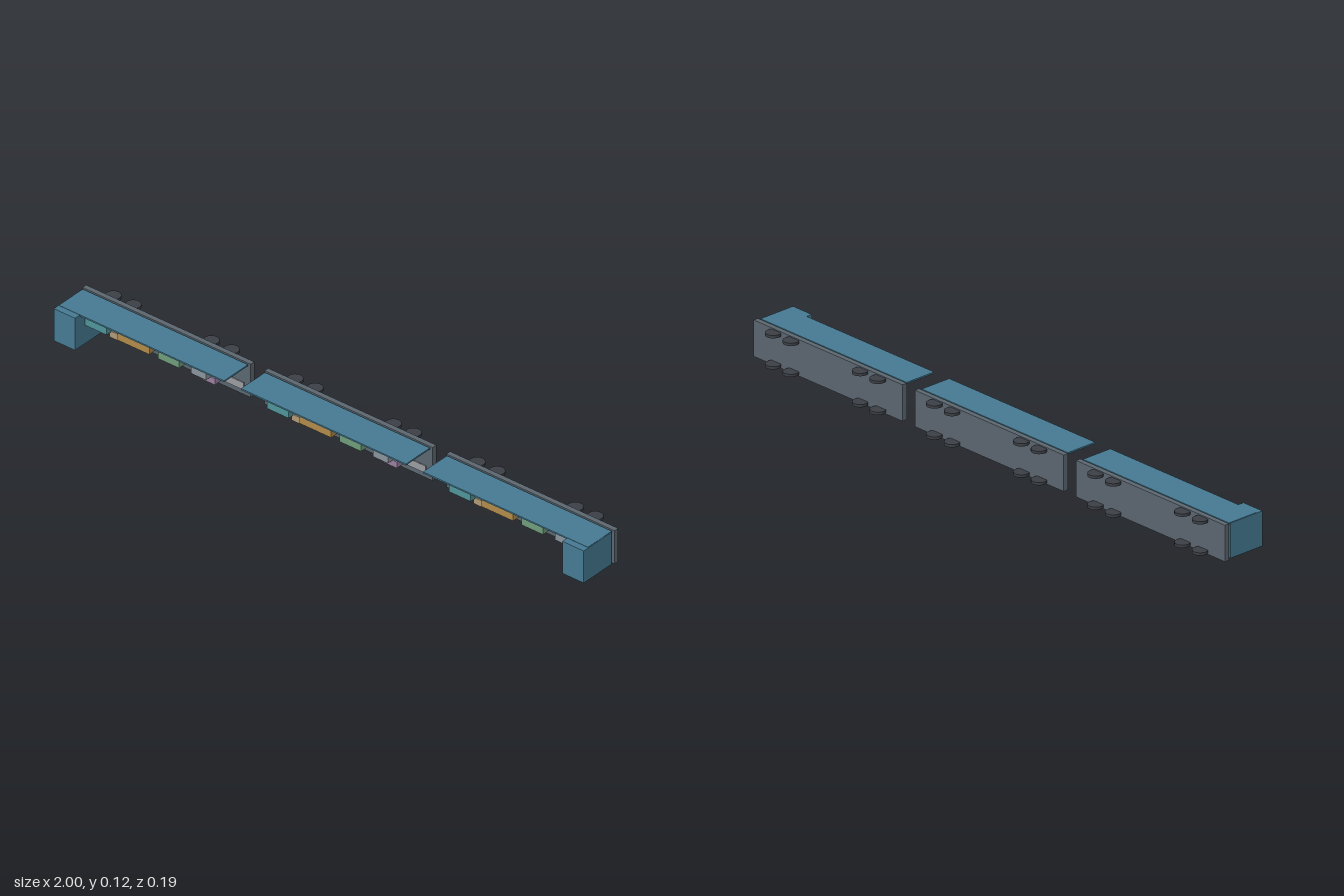
import * as THREE from 'three';

const mat = (color) => new THREE.MeshStandardMaterial({ color });
const M = {
  floor: mat(0x5b6670), shell: mat(0x457a92), wheel: mat(0x3c4046), strip: mat(0x9a9ca0),
  teal: mat(0x4f9499), orange: mat(0xb08a4a), green: mat(0x6f9c7a),
  grey: mat(0x8a949c), beige: mat(0xb09a78), purple: mat(0x9a7fa0),
};

// Box given by its min and max along each axis
function box(parent, name, material, [x0, x1], [y0, y1], [z0, z1]) {
  const mesh = new THREE.Mesh(new THREE.BoxGeometry(x1 - x0, y1 - y0, z1 - z0), material);
  mesh.position.set((x0 + x1) / 2, (y0 + y1) / 2, (z0 + z1) / 2);
  mesh.name = name;
  parent.add(mesh);
}

// Furnishings: name, colour, x range, y range, z range
const fittings = [
  ['tealCabinet', 'teal', [-0.232, -0.15], [0.067, 0.104], [-0.031, 0.05]],
  ['orangeCounter', 'orange', [-0.11, 0.01], [0.067, 0.104], [-0.031, 0.05]],
  ['greenCabinet', 'green', [0.042, 0.122], [0.067, 0.105], [-0.031, 0.05]],
  ['greyCabinet', 'grey', [0.167, 0.223], [0.068, 0.105], [-0.031, 0.05]],
  ['beigeSeat', 'beige', [-0.156, -0.104], [0.048, 0.07], [-0.031, 0.03]],
  ['purpleSeat', 'purple', [0.191, 0.24], [0.048, 0.07], [-0.031, 0.03]],
];

function createCar() {
  const car = new THREE.Group();
  box(car, 'floor', M.floor, [-0.316, 0.316], [0, 0.116], [-0.058, -0.041]);
  box(car, 'sidePanel', M.shell, [-0.31, 0.31], [0.11, 0.115], [-0.036, 0.073]);
  box(car, 'aisle', M.strip, [-0.295, 0.295], [0.02, 0.045], [-0.038, -0.035]);
  for (const [name, color, x, y, z] of fittings) box(car, name, M[color], x, y, z);

  // Two pairs of wheels at each end, on both edges of the floor
  const wheelGeo = new THREE.CylinderGeometry(0.024, 0.024, 0.009, 24);
  for (const x of [-0.222, -0.147, 0.147, 0.222]) {
    for (const y of [0.009, 0.108]) {
      const wheel = new THREE.Mesh(wheelGeo, M.wheel);
      wheel.position.set(x - 0.003, y, -0.071);
      wheel.name = 'wheel';
      car.add(wheel);
    }
  }
  return car;
}

export function createModel() {
  const train = new THREE.Group();
  train.name = 'train';
  ['rightCar', 'middleCar', 'leftCar'].forEach((name, i) => {
    const car = createCar();
    car.name = name;
    car.position.x = (i - 1) * 0.684;
    // Driver's cab on the outer end of the end cars
    if (i === 0) box(car, 'cab', M.shell, [-0.312, -0.232], [0.002, 0.114], [-0.032, 0.095]);
    if (i === 2) box(car, 'cab', M.shell, [0.232, 0.312], [0.002, 0.114], [-0.032, 0.095]);
    train.add(car);
  });
  return train;
}
